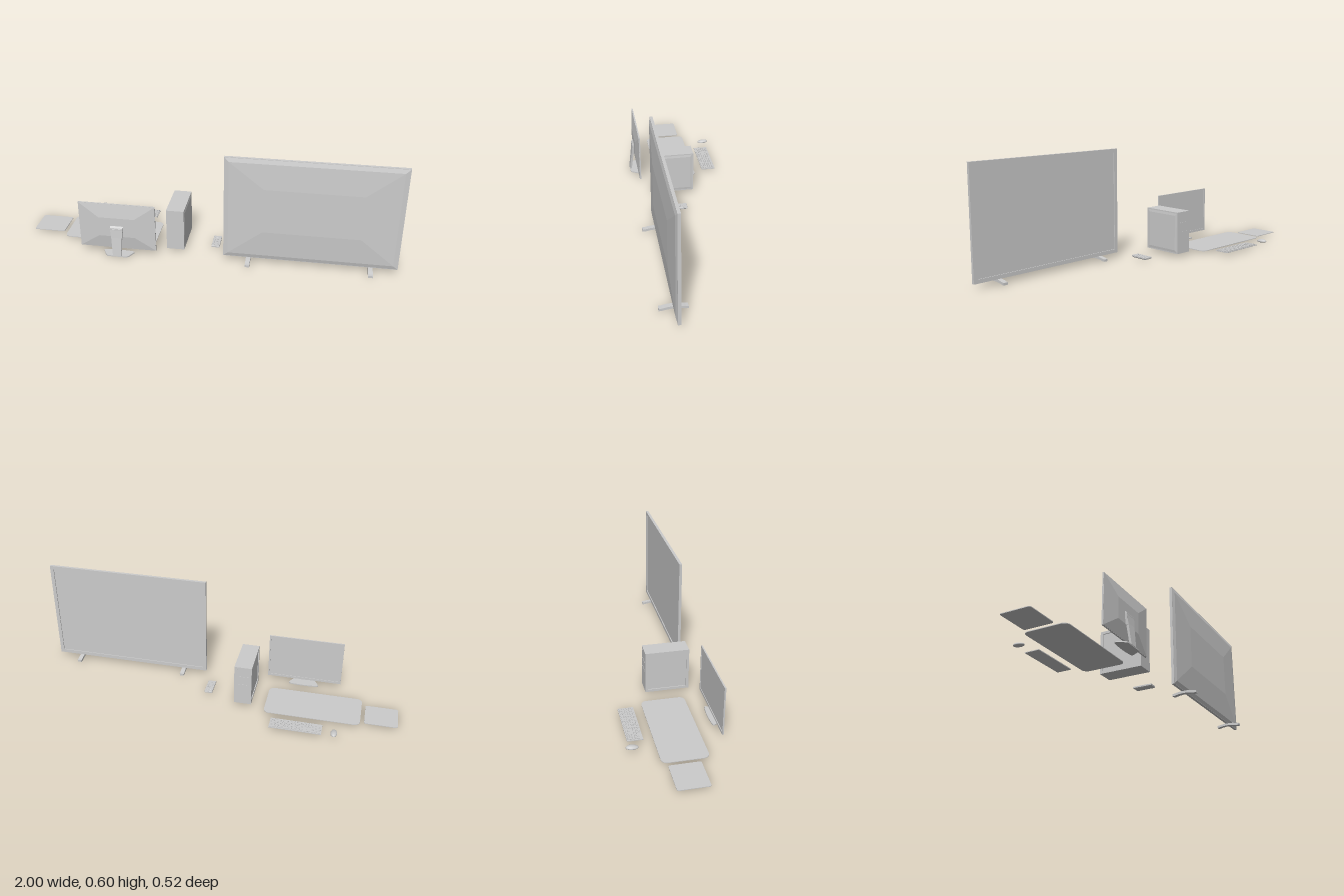
import * as THREE from 'three';
import { mergeGeometries } from 'three/addons/utils/BufferGeometryUtils.js';
import { RoundedBoxGeometry } from 'three/addons/geometries/RoundedBoxGeometry.js';

const grey = new THREE.MeshStandardMaterial({ color: 0xcccccc });

function add(parent, name, geometry) {
  const mesh = new THREE.Mesh(geometry, grey);
  mesh.name = name;
  parent.add(mesh);
  return mesh;
}

function subgroup(parent, name) {
  const g = new THREE.Group();
  g.name = name;
  parent.add(g);
  return g;
}

// Box given by its limits
function span(x0, x1, y0, y1, z0, z1) {
  return new THREE.BoxGeometry(x1 - x0, y1 - y0, z1 - z0)
    .translate((x0 + x1) / 2, (y0 + y1) / 2, (z0 + z1) / 2);
}

// Rectangular sections [at, x0, x1, a0, a1] stacked along z (a = y) or along y (a = z)
function loft(axis, sections) {
  const n = sections.length - 1, alongZ = axis === 'z';
  const g = new THREE.BoxGeometry(1, 1, 1, 1, alongZ ? 1 : n, alongZ ? n : 1);
  const p = g.attributes.position;
  for (let i = 0; i < p.count; i++) {
    const t = alongZ ? p.getZ(i) : p.getY(i);
    const [at, x0, x1, a0, a1] = sections[Math.round((t + 0.5) * n)];
    const a = (alongZ ? p.getY(i) : p.getZ(i)) < 0 ? a0 : a1;
    p.setXYZ(i, p.getX(i) < 0 ? x0 : x1, alongZ ? a : at, alongZ ? at : a);
  }
  const flat = g.toNonIndexed();
  flat.computeVertexNormals();
  return flat;
}

function rect(path, x0, x1, y0, y1) {
  path.moveTo(x0, y0).lineTo(x1, y0).lineTo(x1, y1).lineTo(x0, y1).closePath();
  return path;
}

// Picture-frame ring between z0 and z1
function ring(x0, x1, y0, y1, z0, z1, border, bottom = border) {
  const s = rect(new THREE.Shape(), x0, x1, y0, y1);
  s.holes.push(rect(new THREE.Path(), x0 + border, x1 - border, y0 + bottom, y1 - border));
  return new THREE.ExtrudeGeometry(s, { depth: z1 - z0, bevelEnabled: false }).translate(0, 0, z0);
}

// Flat slab from an outline drawn in x and z
function slab(shape, y0, y1) {
  return new THREE.ExtrudeGeometry(shape, { depth: y1 - y0, bevelEnabled: false, curveSegments: 8 })
    .rotateX(Math.PI / 2).translate(0, y1, 0);
}

function roundedRect(x0, x1, z0, z1, r) {
  const s = new THREE.Shape();
  s.absarc(x1 - r, z1 - r, r, 0, Math.PI / 2);
  s.absarc(x0 + r, z1 - r, r, Math.PI / 2, Math.PI);
  s.absarc(x0 + r, z0 + r, r, Math.PI, Math.PI * 1.5);
  s.absarc(x1 - r, z0 + r, r, Math.PI * 1.5, Math.PI * 2);
  return s;
}

function television(root) {
  const g = subgroup(root, 'television');
  add(g, 'televisionBezel', ring(0.096, 1, 0.027, 0.6, 0.177, 0.192, 0.02));
  add(g, 'televisionScreen', span(0.11, 0.986, 0.041, 0.586, 0.182, 0.191));
  add(g, 'televisionBack', loft('z', [
    [0.188, 0.098, 0.998, 0.029, 0.598], [0.192, 0.098, 0.998, 0.029, 0.598],
    [0.198, 0.12, 0.975, 0.05, 0.577], [0.207, 0.3, 0.8, 0.195, 0.44]]));
  // Arched feet: side profile extruded across x
  const s = new THREE.Shape();
  s.moveTo(-0.26, 0.008).lineTo(-0.245, 0.008);
  s.quadraticCurveTo(-0.19, 0.022, -0.135, 0.008);
  s.lineTo(-0.123, 0.008).lineTo(-0.123, 0.02).lineTo(-0.135, 0.021);
  s.quadraticCurveTo(-0.19, 0.035, -0.245, 0.021);
  s.lineTo(-0.26, 0.02).closePath();
  for (const x of [0.23, 0.862]) {
    const foot = new THREE.ExtrudeGeometry(s, { depth: 0.024, bevelEnabled: false, curveSegments: 10 });
    add(g, 'televisionFoot', foot.rotateY(Math.PI / 2).translate(x - 0.012, 0, 0));
  }
}

function monitor(root) {
  const g = subgroup(root, 'monitor');
  add(g, 'monitorBezel', ring(-0.675, -0.262, 0.033, 0.297, 0.209, 0.216, 0.008, 0.013));
  add(g, 'monitorScreen', span(-0.67, -0.267, 0.04, 0.292, 0.212, 0.2155));
  add(g, 'monitorBack', loft('z', [
    [0.214, -0.674, -0.263, 0.034, 0.296], [0.217, -0.674, -0.263, 0.034, 0.296],
    [0.23, -0.565, -0.372, 0.11, 0.22]]));
  add(g, 'standBracket', loft('y', [
    [0.105, -0.498, -0.438, 0.227, 0.24], [0.16, -0.503, -0.433, 0.227, 0.241],
    [0.174, -0.503, -0.433, 0.227, 0.231]]));
  add(g, 'standNeck', loft('y', [
    [0.004, -0.49, -0.446, 0.247, 0.258], [0.11, -0.497, -0.439, 0.233, 0.245],
    [0.165, -0.503, -0.433, 0.228, 0.24]]));
  // Base: broad curved edge below the screen, narrowing behind
  const s = new THREE.Shape();
  s.moveTo(-0.515, 0.256).lineTo(-0.421, 0.256);
  s.quadraticCurveTo(-0.41, 0.255, -0.402, 0.24).lineTo(-0.386, 0.21);
  s.quadraticCurveTo(-0.382, 0.2, -0.4, 0.198);
  s.quadraticCurveTo(-0.468, 0.19, -0.536, 0.198);
  s.quadraticCurveTo(-0.554, 0.2, -0.55, 0.21).lineTo(-0.534, 0.24);
  s.quadraticCurveTo(-0.526, 0.255, -0.515, 0.256);
  add(g, 'standBase', slab(s, 0, 0.006));
}

function tower(root) {
  const g = subgroup(root, 'computerTower');
  add(g, 'towerCase', span(-0.21, -0.12, 0.02, 0.252, -0.073, 0.16));
  // Slightly raised side panel and recessed panel opposite
  add(g, 'towerSidePanel', loft('z', [
    [0, -0.16, 0.073, 0.02, 0.252], [0.003, -0.141, 0.054, 0.039, 0.233]])
    .rotateY(Math.PI / 2).translate(-0.121, 0, 0));
  add(g, 'towerSideFrame', ring(-0.16, 0.073, 0.02, 0.252, -0.006, 0, 0.014)
    .rotateY(Math.PI / 2).translate(-0.209, 0, 0));
  // Drive slots and power button
  for (const y of [0.14, 0.19]) add(g, 'driveSlot', span(-0.2, -0.14, y, y + 0.004, -0.0745, -0.07));
  add(g, 'powerButton', new THREE.CylinderGeometry(0.004, 0.004, 0.004, 16)
    .rotateX(Math.PI / 2).translate(-0.135, 0.236, -0.073));
}

function keyboard(root) {
  const g = subgroup(root, 'keyboard');
  add(g, 'keyboardBody', span(-0.615, -0.34, 0.017, 0.021, -0.244, -0.164));
  // Blocks of keys: [first column, columns, rows]; the typist's left is +x
  const u = 0.0118, keys = [];
  const key = (col, row, w = 1) => {
    const x = -0.344 - col * u, z = -0.168 - row * 0.0122;
    keys.push(span(x - w * u + 0.002, x, 0.0205, 0.0245, z - 0.0098, z));
  };
  for (let row = 0; row < 6; row++) {
    if (row === 5) {
      [0, 1.25, 2.5].forEach((c) => key(c, row, 1.25));
      key(3.75, row, 6.25);
      [10, 11.25, 12.5, 13.75].forEach((c) => key(c, row, 1.25));
    } else {
      const lead = [1, 1, 1.5, 1.75, 2.25][row], count = [13, 12, 12, 11, 10][row];
      key(0, row, lead);
      for (let i = 0; i < count; i++) key(lead + i, row);
      key(lead + count, row, 15 - lead - count);
    }
    for (let i = 0; i < 3; i++) if (row < 3 || row === 5 || (row === 4 && i === 1)) key(15.3 + i, row);
    for (let i = 0; i < 4; i++) if (row > 0) key(18.6 + i, row);
  }
  add(g, 'keys', mergeGeometries(keys));
}

function mouse(root) {
  const g = subgroup(root, 'mouse');
  // Ellipsoid with a flattened underside, higher at the palm end
  const shell = new THREE.SphereGeometry(1, 32, 20);
  const p = shell.attributes.position;
  for (let i = 0; i < p.count; i++) {
    const x = p.getX(i), y = p.getY(i), z = p.getZ(i);
    const h = y > 0 ? y * (0.0115 - 0.0025 * z) : y * 0.008;
    p.setXYZ(i, -0.679 + x * 0.0175, 0.03 + h - 0.001 * z, -0.231 + z * 0.031);
  }
  shell.computeVertexNormals();
  add(g, 'mouseShell', shell);
  add(g, 'scrollWheel', new THREE.CylinderGeometry(0.004, 0.004, 0.003, 16)
    .rotateZ(Math.PI / 2).translate(-0.679, 0.034, -0.214));
}

function remote(root) {
  const g = subgroup(root, 'remoteControl');
  add(g, 'remoteBody', loft('y', [
    [0.007, 0.022, 0.058, -0.003, 0.09], [0.011, 0.018, 0.062, -0.01, 0.097],
    [0.018, 0.018, 0.062, -0.01, 0.097], [0.0195, 0.019, 0.061, -0.009, 0.096]]));
  // Round buttons in rows and one wide rocker
  for (let row = 0; row < 6; row++) for (let i = -1; i <= 1; i++) {
    add(g, 'remoteButton', new THREE.CylinderGeometry(0.003, 0.003, 0.002, 12)
      .translate(0.04 + i * 0.011, 0.02, 0.027 + row * 0.011));
  }
  add(g, 'remoteRocker', new RoundedBoxGeometry(0.03, 0.003, 0.008, 2, 0.001).translate(0.04, 0.0198, 0.01));
}

export function createModel() {
  const root = new THREE.Group();
  root.name = 'deskElectronics';
  television(root);
  monitor(root);
  tower(root);
  keyboard(root);
  mouse(root);
  remote(root);
  add(root, 'deskMat', slab(roundedRect(-0.805, -0.29, -0.116, 0.115, 0.03), 0.012, 0.0155));
  add(root, 'mousePad', slab(roundedRect(-1, -0.826, -0.092, 0.065, 0.01), 0.012, 0.0155));
  return root;
}
